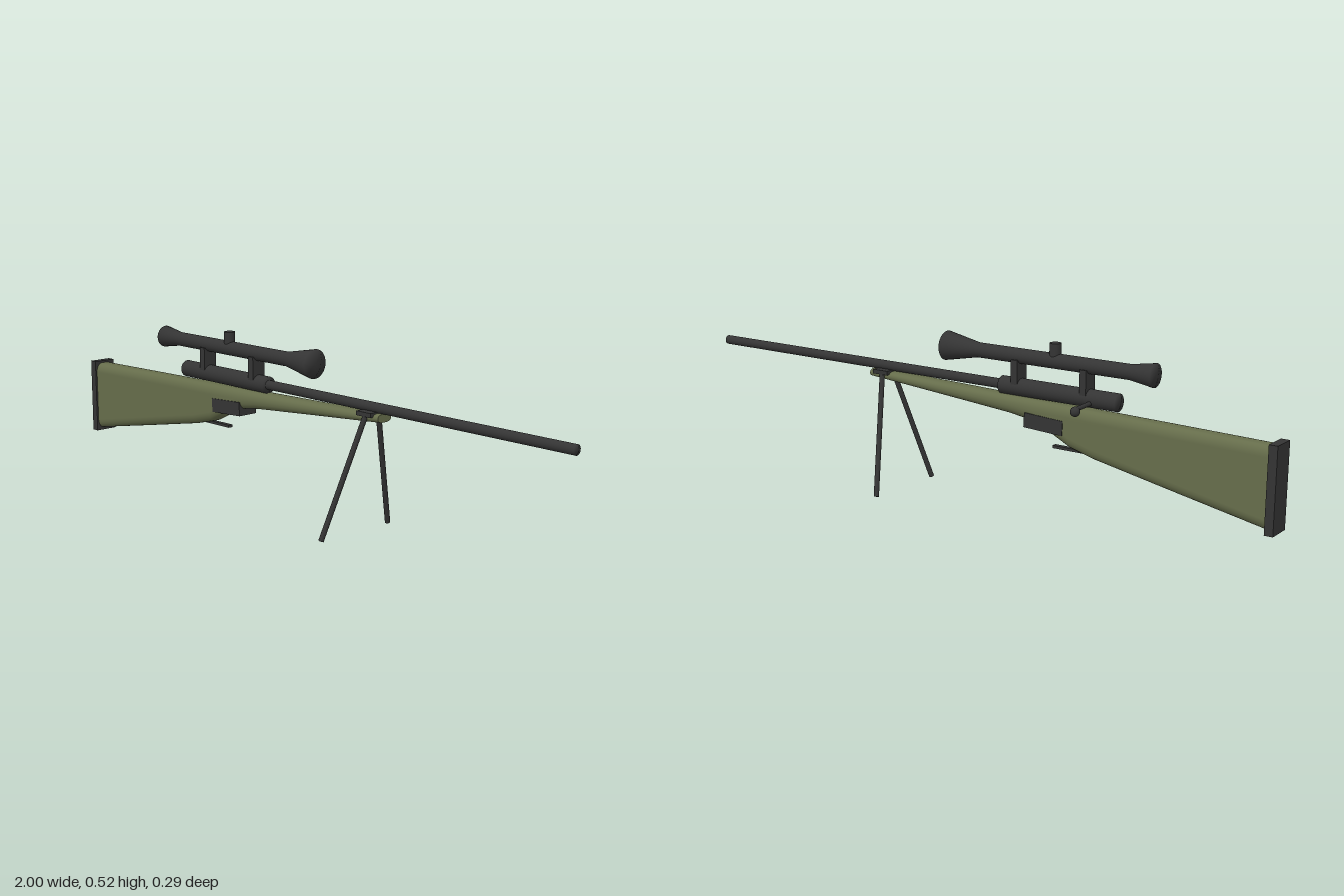
import * as THREE from 'three';

const mat = (name, color) => {
  const m = new THREE.MeshStandardMaterial({ color });
  m.name = name;
  return m;
};

// Rounded-rectangle cross-sections [x, bottom, top, halfWidth] lofted along x
function loft(stations) {
  const perCorner = 6, n = perCorner * 4, pos = [], idx = [];
  const rings = stations.map(([x, y0, y1, w]) => {
    const ry = Math.min(0.03, (y1 - y0) * 0.45), rz = Math.min(0.021, w * 0.7);
    const ring = [];
    for (let j = 0; j < n; j++) {
      const q = Math.floor(j / perCorner);
      const a = (q + (j % perCorner) / (perCorner - 1)) * Math.PI / 2;
      const cy = q === 0 || q === 3 ? y1 - ry : y0 + ry;
      const cz = q < 2 ? w - rz : rz - w;
      ring.push([x, cy + ry * Math.cos(a), cz + rz * Math.sin(a)]);
    }
    return ring;
  });
  rings.forEach(r => r.forEach(p => pos.push(...p)));
  for (let i = 0; i < rings.length - 1; i++) {
    for (let j = 0; j < n; j++) {
      const a = i * n + j, b = i * n + (j + 1) % n;
      idx.push(a, b, a + n, b, b + n, a + n);
    }
  }
  // End caps with their own vertices
  for (const [ring, front] of [[rings[0], false], [rings[rings.length - 1], true]]) {
    const s = pos.length / 3;
    ring.forEach(p => pos.push(...p));
    for (let j = 1; j < n - 1; j++) {
      if (front) idx.push(s, s + j, s + j + 1);
      else idx.push(s, s + j + 1, s + j);
    }
  }
  const g = new THREE.BufferGeometry();
  g.setAttribute('position', new THREE.Float32BufferAttribute(pos, 3));
  g.setIndex(idx);
  g.computeVertexNormals();
  return g;
}

export function createModel() {
  const root = new THREE.Group();
  const olive = mat('olive stock', 0x666d4b);
  const dark = mat('dark metal', 0x343434);

  const add = (name, geo, material, x = 0, y = 0, z = 0) => {
    const m = new THREE.Mesh(geo, material);
    m.name = name;
    m.position.set(x, y, z);
    root.add(m);
    return m;
  };
  const box = (name, x0, x1, y0, y1, w) => add(name,
    new THREE.BoxGeometry(x1 - x0, y1 - y0, w * 2), dark, (x0 + x1) / 2, (y0 + y1) / 2, 0);

  // Closed turned part along x from [x, radius] pairs
  const turned = (name, y, pts) => {
    const p = [[pts[0][0], 0], ...pts, [pts[pts.length - 1][0], 0]];
    const g = new THREE.LatheGeometry(p.map(([x, r]) => new THREE.Vector2(r, x)), 32);
    g.rotateZ(-Math.PI / 2);
    return add(name, g, dark, 0, y, 0);
  };

  // Straight round rod between two points
  const rod = (name, a, b, r) => {
    const A = new THREE.Vector3(...a), B = new THREE.Vector3(...b);
    const d = B.clone().sub(A);
    const m = add(name, new THREE.CylinderGeometry(r, r, d.length(), 16), dark);
    m.position.copy(A).addScaledVector(d, 0.5);
    m.quaternion.setFromUnitVectors(new THREE.Vector3(0, 1, 0), d.normalize());
    return m;
  };

  // Stock and butt pad
  add('stock', loft([
    [-0.98, 0.110, 0.338, 0.032],
    [-0.70, 0.163, 0.344, 0.032],
    [-0.45, 0.211, 0.349, 0.032],
    [-0.37, 0.232, 0.351, 0.032],
    [-0.31, 0.262, 0.352, 0.032],
    [-0.25, 0.290, 0.353, 0.031],
    [-0.16, 0.303, 0.355, 0.031],
    [0.10, 0.324, 0.361, 0.029],
    [0.355, 0.344, 0.368, 0.027],
  ]), olive);
  box('buttPad', -1, -0.975, 0.102, 0.345, 0.0375);

  // Receiver and barrel
  turned('receiver', 0.38, [[-0.515, 0.026], [-0.125, 0.026]]);
  turned('barrel', 0.381, [[-0.13, 0.0145], [1, 0.0145]]);

  // Scope with flared ends, mounts and adjustment knob
  turned('scope', 0.471, [
    [-0.625, 0.034], [-0.55, 0.022], [-0.04, 0.022], [0.075, 0.044],
  ]);
  for (const x of [-0.411, -0.181]) box('scopeMount', x - 0.011, x + 0.011, 0.39, 0.462, 0.024);
  add('scopeKnob', new THREE.CylinderGeometry(0.017, 0.017, 0.045, 24), dark, -0.305, 0.5005, 0);

  // Bolt handle on the far side
  rod('boltHandle', [-0.435, 0.371, 0], [-0.435, 0.369, -0.1], 0.0065);
  add('boltKnob', new THREE.SphereGeometry(0.014, 20, 14), dark, -0.435, 0.363, -0.099);

  // Magazine and trigger bar
  box('magazine', -0.353, -0.223, 0.27, 0.313, 0.034).rotation.z = 0.05;
  box('triggerBar', -0.413, -0.305, 0.219, 0.227, 0.008);

  // Bipod
  box('bipodClamp', 0.28, 0.335, 0.358, 0.371, 0.036);
  for (const s of [1, -1]) {
    rod('bipodLeg', [0.307, 0.36, s * 0.026], [0.245, 0.003, s * 0.137], 0.008);
  }
  return root;
}
